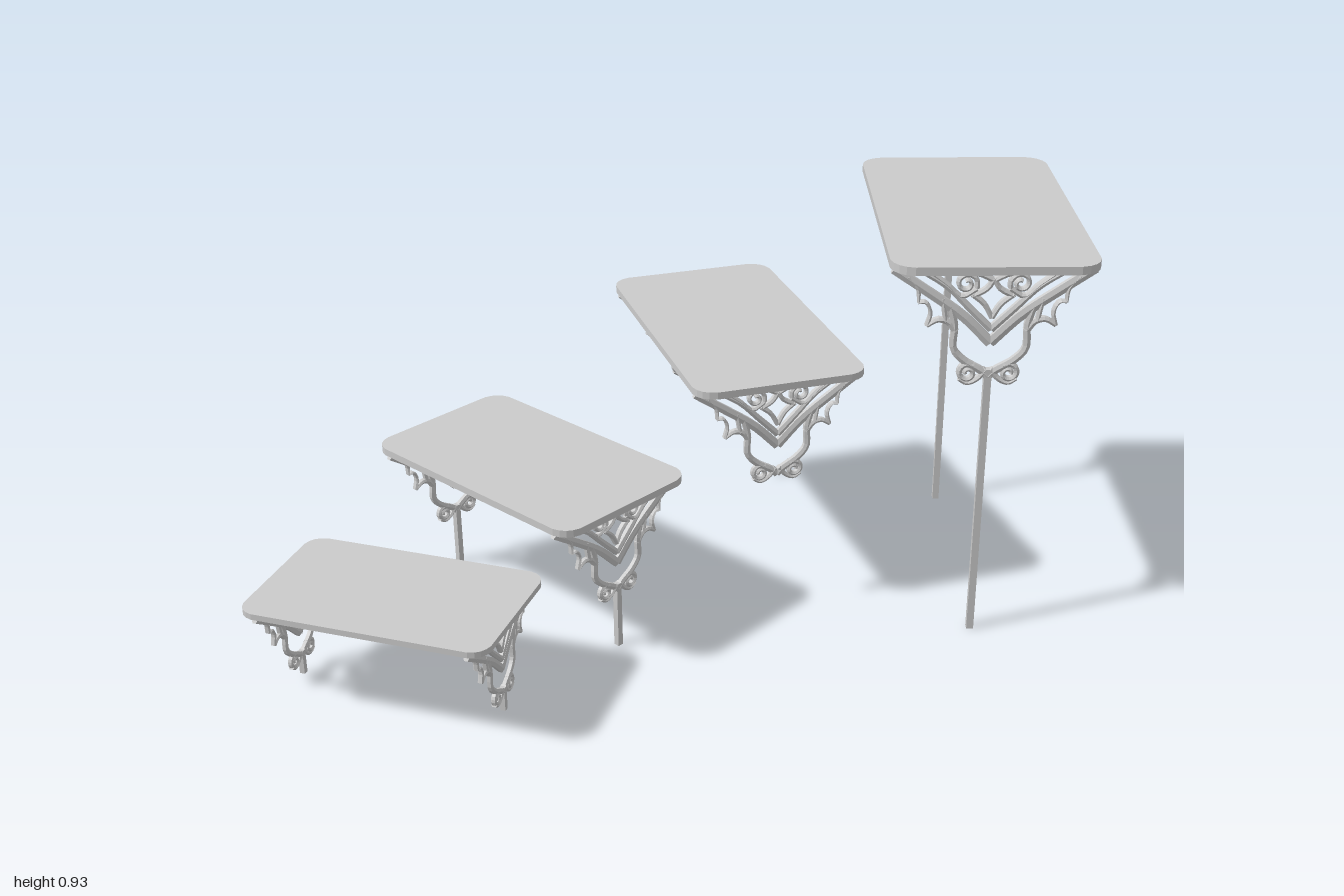
import * as THREE from 'three';
import { mergeGeometries } from 'three/addons/utils/BufferGeometryUtils.js';

const material = new THREE.MeshStandardMaterial({ color: 0xcccccc, flatShading: true });

// Ridged ribbon following a curve in the YZ plane, tapering from w0 to w1
function ribbon(points, w0, w1 = w0, segs = 10, depth = 0.02) {
  const curve = new THREE.CatmullRomCurve3(points.map(([u, v]) => new THREE.Vector3(0, v, u)));
  const section = [[1, -0.6], [1, 0.6], [0, 1], [-1, 0.6], [-1, -0.6], [0, -1]];
  const n = section.length, pos = [], index = [];
  const axis = new THREE.Vector3(1, 0, 0);
  for (let i = 0; i <= segs; i++) {
    const t = i / segs, p = curve.getPoint(t);
    const side = axis.clone().cross(curve.getTangent(t));
    const w = THREE.MathUtils.lerp(w0, w1, t) / 2;
    for (const [a, b] of section) {
      pos.push(b * depth, p.y + side.y * a * w, p.z + side.z * a * w);
    }
  }
  for (let i = 0; i < segs; i++) {
    for (let k = 0; k < n; k++) {
      const a = i * n + k, b = i * n + (k + 1) % n;
      index.push(a, b, a + n, b, b + n, a + n);
    }
  }
  const end = segs * n;
  for (let k = 1; k < n - 1; k++) index.push(0, k + 1, k, end, end + k, end + k + 1);
  const g = new THREE.BufferGeometry();
  g.setAttribute('position', new THREE.Float32BufferAttribute(pos, 3));
  g.setIndex(index);
  const flat = g.toNonIndexed();
  flat.computeVertexNormals();
  return flat;
}

// Points of an inward spiral
function spiral(cu, cv, r, start, turns) {
  return Array.from({ length: 13 }, (_, i) => {
    const a = start + turns * Math.PI * 2 * i / 12, q = r * (1 - 0.75 * i / 12);
    return [cu + q * Math.cos(a), cv + q * Math.sin(a)];
  });
}

// Half of the ornament for a bracket one unit wide: points, start width, end width, segments
const strokes = [
  [[[0.48, -0.01], [0.32, -0.12], [0.14, -0.25], [0, -0.39]], 0.045, 0.05, 10],      // main arm
  [[[0.36, -0.01], [0.22, -0.10], [0.11, -0.21], [0, -0.32]], 0.026, 0.036, 10],     // inner arm
  [[[0.24, -0.01], [0.16, -0.02], [0.06, -0.04], [0, -0.07]], 0.02, 0.026, 6],       // star, top
  [[[0, -0.06], [0.03, -0.11], [0.1, -0.15]], 0.025, 0.025, 6],                      // star, side
  [[[0.1, -0.14], [0.04, -0.19], [0, -0.26]], 0.025, 0.025, 6],                      // star, bottom
  [spiral(0.13, -0.085, 0.055, 3.6, -1.4), 0.024, 0.018, 24],                        // upper scroll
  [[[0.08, -0.11], [0.15, -0.15], [0.22, -0.09], [0.3, -0.03]], 0.024, 0.02, 8],     // scroll tail
  [[[0.41, -0.05], [0.36, -0.11], [0.355, -0.18]], 0.03, 0.012, 6],                  // leaf, upper lobe
  [[[0.355, -0.18], [0.32, -0.18], [0.295, -0.23], [0.31, -0.3]], 0.014, 0.02, 8],   // leaf, outer edge
  [[[0.31, -0.3], [0.26, -0.27], [0.21, -0.28], [0.17, -0.33]], 0.02, 0.035, 8],     // leaf, lower edge
  [[[0.24, -0.16], [0.23, -0.22], [0.22, -0.28]], 0.022, 0.022, 5],                  // leaf vein
  [[[0.2, -0.2], [0.175, -0.3], [0.175, -0.42], [0.12, -0.485], [0.03, -0.54], [0, -0.57]], 0.032, 0.038, 16], // lyre stem
  [spiral(0.1, -0.55, 0.05, 2.2, -1.4), 0.028, 0.02, 24],                            // foot scroll
  [[[0.01, -0.53], [0.05, -0.58], [0.1, -0.602], [0.14, -0.58]], 0.026, 0.02, 8],    // foot base
];

function bracketGeometry() {
  const parts = [];
  for (const s of [1, -1]) {
    for (const [pts, w0, w1, segs] of strokes) {
      parts.push(ribbon(pts.map(([u, v]) => [u * s, v]), w0, w1, segs));
    }
  }
  return mergeGeometries(parts);
}

// Slab with clipped, slightly rounded corners; its top lies at y = 0
function slabGeometry(L, W, T) {
  const r = 0.11 * W, x = L / 2, y = W / 2, s = new THREE.Shape();
  s.moveTo(-x + r, -y);
  s.lineTo(x - r, -y);
  s.quadraticCurveTo(x - 0.15 * r, -y + 0.15 * r, x, -y + r);
  s.lineTo(x, y - r);
  s.quadraticCurveTo(x - 0.15 * r, y - 0.15 * r, x - r, y);
  s.lineTo(-x + r, y);
  s.quadraticCurveTo(-x + 0.15 * r, y - 0.15 * r, -x, y - r);
  s.lineTo(-x, -y + r);
  s.quadraticCurveTo(-x + 0.15 * r, -y + 0.15 * r, -x + r, -y);
  const g = new THREE.ExtrudeGeometry(s, { depth: T, bevelEnabled: false, curveSegments: 4 });
  return g.rotateX(Math.PI / 2);
}

// Four steps, lowest first; base is where the poles end (null = no poles)
const steps = [
  { x: -0.283, z: 0.735, L: 0.575, W: 0.342, T: 0.014, top: 0.263, angle: 25, base: 0.01 },
  { x: -0.354, z: 0.266, L: 0.66, W: 0.39, T: 0.017, top: 0.388, angle: 0, base: 0 },
  { x: -0.188, z: -0.26, L: 0.735, W: 0.41, T: 0.017, top: 0.612, angle: -29.7, base: null },
  { x: 0.265, z: -0.58, L: 0.763, W: 0.453, T: 0.019, top: 0.927, angle: -46.8, base: 0 },
];

export function createModel() {
  const model = new THREE.Group();
  model.name = 'floatingSteps';
  const bracketGeo = bracketGeometry();

  steps.forEach(({ x, z, L, W, T, top, angle, base }, i) => {
    const step = new THREE.Group();
    step.name = `step${i + 1}`;
    step.position.set(x, top, z);
    step.rotation.y = THREE.MathUtils.degToRad(angle);
    const slab = new THREE.Mesh(slabGeometry(L, W, T), material);
    slab.name = 'slab';
    step.add(slab);

    for (const s of [1, -1]) {
      const px = s * (L / 2 - 0.125 * W);
      const bracket = new THREE.Mesh(bracketGeo, material);
      bracket.name = 'bracket';
      bracket.scale.setScalar(W);
      bracket.position.set(px, -T, 0);
      step.add(bracket);

      if (base !== null) {
        const poleTop = -T - 0.53 * W, bottom = base - top;
        const pole = new THREE.Mesh(new THREE.BoxGeometry(0.036 * W, poleTop - bottom, 0.036 * W), material);
        pole.name = 'pole';
        pole.position.set(px, (poleTop + bottom) / 2, 0);
        step.add(pole);
      }
    }
    model.add(step);
  });
  return model;
}
